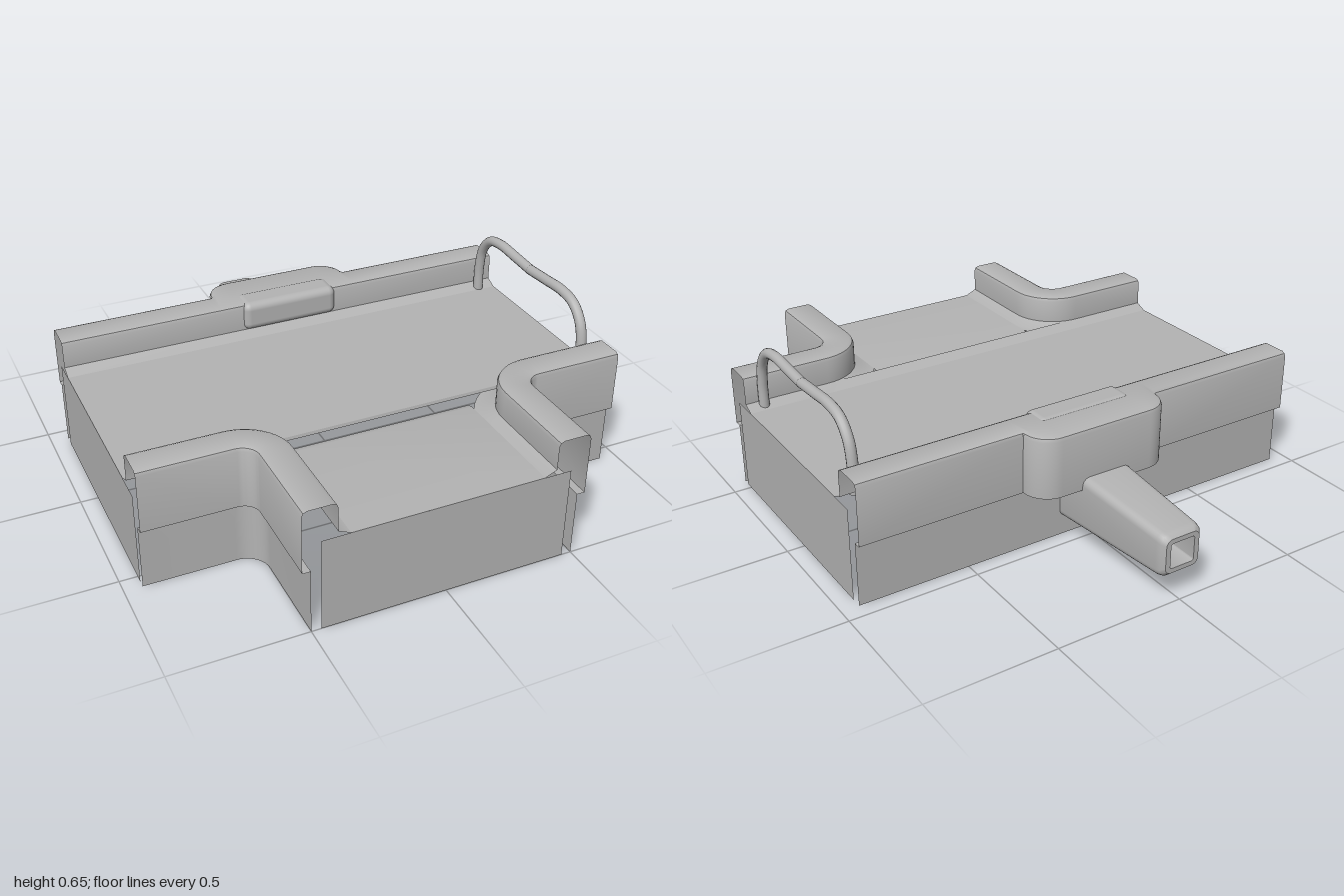
import * as THREE from 'three';
import { toCreasedNormals } from 'three/addons/utils/BufferGeometryUtils.js';
import { RoundedBoxGeometry } from 'three/addons/geometries/RoundedBoxGeometry.js';

const W = 0.933;          // half width of the body
const DECK = 0.36;        // deck height
const LIP = 0.38;         // height where the rails meet the deck

// Surface through rows of [x, y, z] points, all rows the same length
function loft(rows, crease = 0.6) {
  const n = rows[0].length, index = [];
  for (let i = 0; i < rows.length - 1; i++)
    for (let j = 0; j < n - 1; j++) {
      const a = i * n + j, b = a + n;
      index.push(a, b, a + 1, b, b + 1, a + 1);
    }
  const geo = new THREE.BufferGeometry();
  geo.setAttribute('position', new THREE.Float32BufferAttribute(rows.flat(2), 3));
  geo.setIndex(index);
  return toCreasedNormals(geo, crease);
}

// Quarter arc stations: point p on the outer wall, unit vector n pointing into the rail
function arc(cx, cz, r, a0, a1, inward, steps = 12) {
  return Array.from({ length: steps + 1 }, (_, i) => {
    const a = a0 + (a1 - a0) * i / steps, c = Math.cos(a), s = Math.sin(a);
    return { p: [cx + r * c, cz + r * s], n: [c * inward, s * inward] };
  });
}

// Rounded rectangle ring in the xy plane
function ring(hw, y0, y1, r, z) {
  const pts = [], cy = (y0 + y1) / 2, hh = (y1 - y0) / 2;
  [[1, 1], [-1, 1], [-1, -1], [1, -1]].forEach(([sx, sy], q) => {
    for (let i = 0; i <= 5; i++) {
      const a = (q + i / 5) * Math.PI / 2;
      pts.push([sx * (hw - r) + r * Math.cos(a), cy + sy * (hh - r) + r * Math.sin(a), z]);
    }
  });
  pts.push(pts[0]);
  return pts;
}

export function createModel() {
  const group = new THREE.Group();
  const grey = new THREE.MeshStandardMaterial({ color: 0xb3b3b3, side: THREE.DoubleSide });
  grey.name = 'plain grey';
  const add = (name, geo) => {
    const mesh = new THREE.Mesh(geo, grey);
    mesh.name = name;
    group.add(mesh);
    return mesh;
  };
  const at = (s, d, y) => [s.p[0] + s.n[0] * d, y, s.p[1] + s.n[1] * d];
  const roundTop = s => [[0, 0.25], [0, 0.472], [0.005, 0.484], [0.018, 0.49]].map(([d, y]) => at(s, d, y));

  // Front corner rails with the inset skirt walls below them
  const H = Math.PI / 2;
  const corner = [
    { p: [W, 0.587], n: [0, -1] },
    ...arc(0.59, 0.647, 0.06, -H, -2 * H, 1),
    { p: [0.53, 1], n: [-1, 0] },
  ];
  for (const side of [1, -1]) {
    const stations = corner.map(({ p, n }) => ({ p: [p[0] * side, p[1]], n: [n[0] * side, n[1]] }));
    const label = side > 0 ? 'left' : 'right';
    add(label + 'FrontRail', loft(stations.map(s => [
      at(s, 0.03, 0.25), ...roundTop(s),
      at(s, 0.107, 0.49), at(s, 0.12, 0.484), at(s, 0.125, 0.472),
      at(s, 0.125, LIP), at(s, 0.17, DECK), at(s, 0.2, DECK - 0.002),
    ])));
    add(label + 'FrontSkirt', loft(stations.map(s => [at(s, 0.03, 0), at(s, 0.03, 0.25)])));

    // End panel
    add(label + 'EndPanel', loft([0, DECK].map(y => [[W * side, y, -0.4], [W * side, y, 0.53]])));
  }

  // Back rail with the rounded bulge in its middle
  const straight = { n: [0, 1] };
  const back = [
    { ...straight, p: [-W, -0.47] }, { ...straight, p: [-0.29, -0.47] },
    ...arc(-0.19, -0.47, 0.1, -2 * H, -H, -1),
    ...arc(0.19, -0.47, 0.1, -H, 0, -1),
    { ...straight, p: [0.29, -0.47] }, { ...straight, p: [W, -0.47] },
  ];
  add('backRail', loft(back.map(s => {
    const x = s.p[0];
    return [
      [x, 0.25, -0.44], ...roundTop(s),
      [x, 0.49, -0.363], [x, 0.484, -0.35], [x, 0.472, -0.345],
      [x, LIP, -0.345], [x, DECK, -0.3],
    ];
  })));
  add('backSkirt', loft([0, 0.25].map(y => [[-W, y, -0.44], [W, y, -0.44]])));

  // Main deck and the raised strip at its front opening
  add('deck', loft([-W, W].map(x => [[x, DECK, -0.3], [x, DECK, 0.417]])));
  add('deckFrontStrip', loft([-0.6, 0.6].map(x => [[x, DECK, 0.417], [x, LIP, 0.465]]), 0.1));

  // Front walkway, its inner end curling down
  const curl = [[1, DECK], [0.51, DECK], [0.485, 0.354], [0.466, 0.338], [0.456, 0.31]];
  add('walkway', loft([-0.36, 0.36].map(x => curl.map(([z, y]) => [x, y, z]))));
  add('frontPanel', loft([0, DECK].map(y => [[-0.463, y, 1], [0.463, y, 1]])));

  // Padded block on the back rail
  add('backBlock', new RoundedBoxGeometry(0.4, 0.118, 0.122, 4, 0.03)).position.set(0, 0.436, -0.388);

  // Tapered hollow tongue
  add('tongue', loft([
    ring(0.112, 0.073, 0.305, 0.03, -0.4),
    ring(0.087, 0.105, 0.273, 0.03, -0.965),
    ring(0.083, 0.109, 0.269, 0.03, -0.985),
    ring(0.07, 0.122, 0.256, 0.025, -1),
    ring(0.05, 0.14, 0.238, 0.008, -1),
    ring(0.05, 0.14, 0.238, 0.008, -0.86),
  ]));

  // Hand rail on the left end
  const bar = [[0.446, DECK], [0.445, 0.46], [0.425, 0.55], [0.37, 0.61], [0.29, 0.628], [0.18, 0.623],
    [0.06, 0.615]];
  const path = [...bar, ...bar.slice().reverse().map(([z, y]) => [0.13 - z, y])];
  const curve = new THREE.CatmullRomCurve3(path.map(([z, y]) => new THREE.Vector3(0.865, y, z)));
  add('handRail', new THREE.TubeGeometry(curve, 80, 0.02, 14));

  return group;
}
